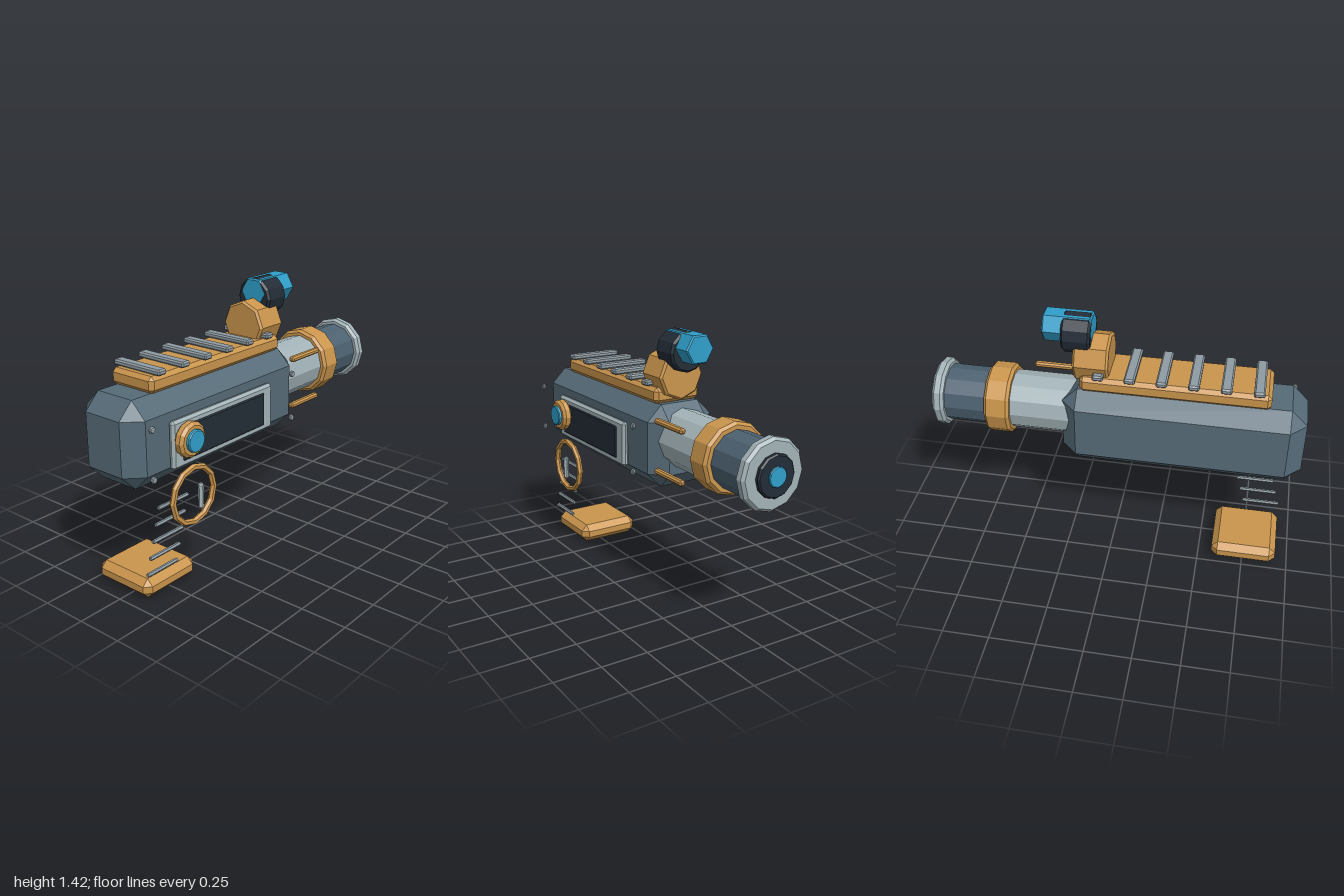
import * as THREE from 'three';
import { ConvexGeometry } from 'three/addons/geometries/ConvexGeometry.js';

const paint = (name, color) => {
  const m = new THREE.MeshStandardMaterial({ color });
  m.name = name;
  return m;
};

// Faceted normals for low-poly parts
function faceted(geometry) {
  const g = geometry.index ? geometry.toNonIndexed() : geometry;
  g.computeVertexNormals();
  return g;
}

// Box given by its extents, with every edge and corner chamfered by b
function chamferBox([x0, x1], [y0, y1], [z0, z1], b) {
  const half = [(x1 - x0) / 2, (y1 - y0) / 2, (z1 - z0) / 2];
  const points = [];
  for (let axis = 0; axis < 3; axis++)
    for (const sx of [-1, 1]) for (const sy of [-1, 1]) for (const sz of [-1, 1]) {
      const p = [sx, sy, sz].map((s, i) => s * (half[i] - (i === axis ? 0 : b)));
      points.push(new THREE.Vector3(...p));
    }
  return new ConvexGeometry(points).translate((x0 + x1) / 2, (y0 + y1) / 2, (z0 + z1) / 2);
}

// Closed cylinder from a to b along y with chamfered rims
function drum(r, a, b, sides, bevel) {
  const profile = [[0, a], [r - bevel, a], [r, a + bevel], [r, b - bevel], [r - bevel, b], [0, b]];
  return faceted(new THREE.LatheGeometry(profile.map(([x, y]) => new THREE.Vector2(x, y)), sides));
}
const drumX = (r, a, b, y, z, sides = 12, bevel = 0.005) =>
  drum(r, a, b, sides, bevel).rotateZ(-Math.PI / 2).translate(0, y, z);
const drumZ = (r, a, b, x, y, sides = 12, bevel = 0.005) =>
  drum(r, a, b, sides, bevel).rotateX(Math.PI / 2).translate(x, y, 0);

export function createModel() {
  const group = new THREE.Group();
  const slate = paint('slate', 0x566b78);
  const barrelSlate = paint('barrel slate', 0x4c6170);
  const brass = paint('brass', 0xca954c);
  const silver = paint('silver', 0xa3b3b8);
  const steel = paint('steel', 0x8f9ca3);
  const dark = paint('dark', 0x222c36);
  const blue = paint('blue', 0x2f9fca);
  const add = (name, geometry, material) => {
    const mesh = new THREE.Mesh(geometry, material);
    mesh.name = name;
    group.add(mesh);
    return mesh;
  };
  const Z = -0.053; // centre plane of body and barrel
  const Y = 0.853;  // barrel axis height

  // Body and top rail
  add('body', chamferBox([-1, 0.267], [0.587, 1.036], [-0.25, 0.145], 0.084), slate);
  add('topRail', chamferBox([-0.81, 0.17], [1.035, 1.12], [-0.192, 0.086], 0.02), brass);
  for (let i = 0; i < 6; i++) {
    const x = -0.745 + i * 0.163;
    add('railSlat', chamferBox([x - 0.028, x + 0.028], [1.12, 1.15], [-0.206, 0.1], 0.008), steel);
  }

  // Barrel, collar and muzzle
  add('barrelSleeve', drumX(0.157, 0.15, 0.56, Y, Z), silver);
  add('barrelCollar', drumX(0.19, 0.545, 0.68, Y, Z, 12, 0.015), brass);
  add('barrelTube', drumX(0.153, 0.66, 0.92, Y, Z), barrelSlate);
  add('muzzleRing', drumX(0.184, 0.905, 0.967, Y, Z, 12, 0.015), silver);
  add('muzzleBore', drumX(0.11, 0.95, 0.99, Y, Z, 12, 0.008), dark);
  add('muzzleLens', drumX(0.052, 0.97, 1, Y, Z, 12, 0.004), blue);
  for (const y of [0.97, 0.7])
    add('guideRod', chamferBox([0.23, 0.48], [y - 0.015, y + 0.015], [0.103, 0.138], 0.009), brass);

  // Sight on its mount
  add('sightMount', drumX(0.132, 0.02, 0.205, 1.18, Z, 8, 0.012), brass);
  add('sightHousing', drumX(0.108, 0.115, 0.267, 1.313, Z, 12, 0.012), dark);
  add('sightLens', drumX(0.084, 0.114, 0.367, 1.342, Z, 6, 0.008), blue);

  // Side panel, dial and corner studs
  add('sidePanel', chamferBox([-0.77, -0.01], [0.66, 0.91], [0.14, 0.178], 0.014), silver);
  add('sideWindow', chamferBox([-0.705, -0.083], [0.695, 0.875], [0.17, 0.185], 0.006), dark);
  add('dialRim', drumZ(0.091, 0.178, 0.235, -0.685, 0.81, 12, 0.015), brass);
  add('dialLens', drumZ(0.058, 0.22, 0.253, -0.685, 0.81, 12, 0.005), blue);
  for (const x of [-0.93, 0.13]) for (const y of [0.93, 0.68])
    add('stud', drumZ(0.018, 0.193, 0.21, x, y, 8, 0.004), steel);

  // Trigger ring and trigger
  const ring = faceted(new THREE.TorusGeometry(0.147, 0.017, 6, 12));
  add('triggerRing', ring, brass).position.set(-0.65, 0.5, 0.188);
  add('trigger', chamferBox([-0.643, -0.61], [0.424, 0.565], [0.2, 0.232], 0.012), silver);

  // Grip rods stepping down to the base
  for (let i = 0; i < 5; i++) {
    const x = -0.84 - i * 0.0225;
    add('gripRod', drumX(0.011, x, x + 0.21, 0.478 - i * 0.0825, 0.13, 6, 0.003), steel);
  }
  add('gripBase', chamferBox([-0.932, -0.575], [0, 0.105], [-0.235, 0.13], 0.034), brass);
  return group;
}
